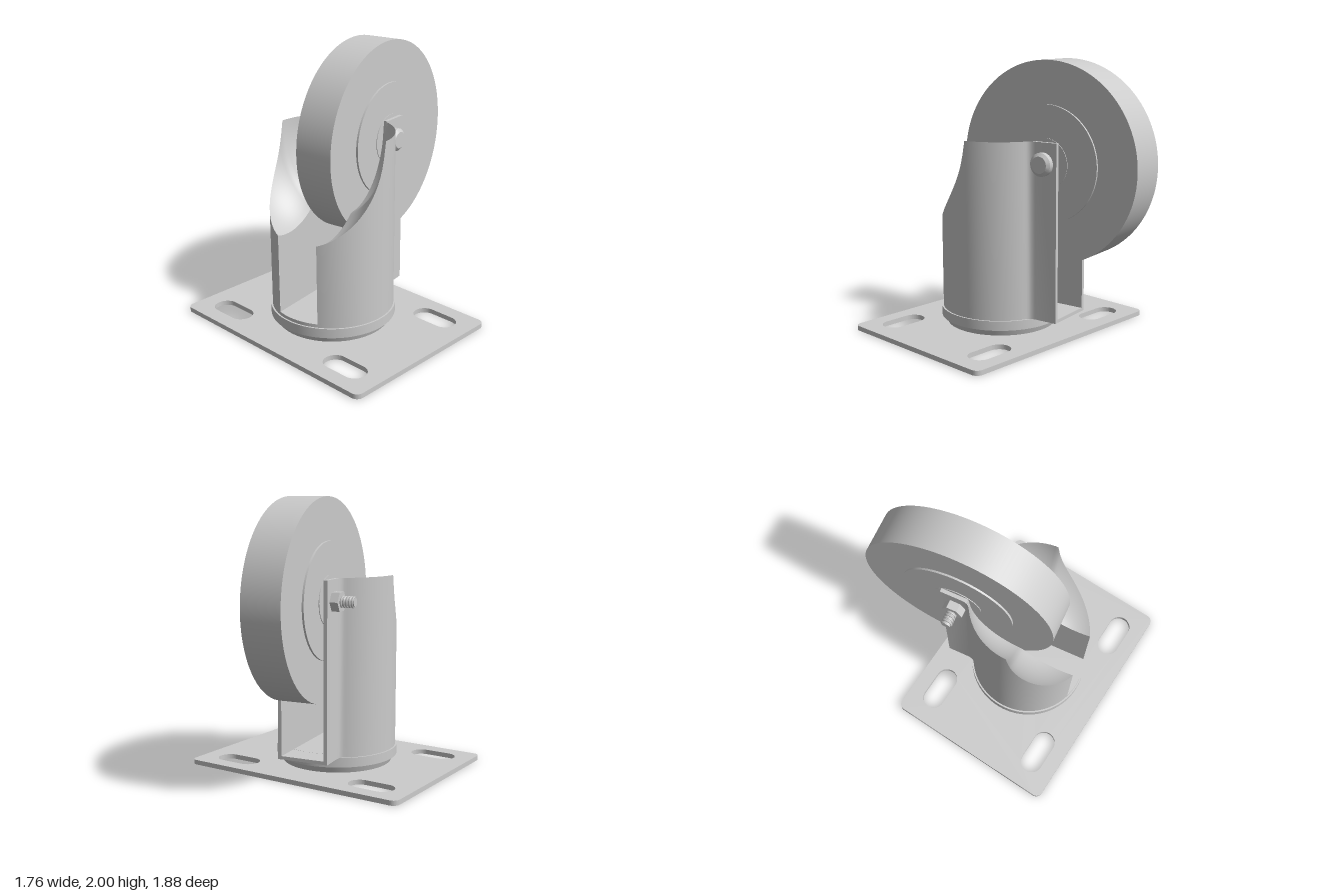
import * as THREE from 'three';
import { toCreasedNormals } from 'three/addons/utils/BufferGeometryUtils.js';

const grey = new THREE.MeshStandardMaterial({ color: 0xcccccc });
const BODY_R = 0.44, SLOT = 0.163, TOP = 1.44, FLOOR = 0.155;
const AXLE_Y = 1.288, AXLE_Z = -0.5;

function add(parent, name, geometry, x = 0, y = 0, z = 0) {
  const mesh = new THREE.Mesh(geometry, grey);
  mesh.name = name;
  mesh.position.set(x, y, z);
  parent.add(mesh);
  return mesh;
}

// Cylinder along x, from x0 to x1
function axleDisc(parent, name, r, x0, x1, sides = 64, r2 = r) {
  const g = new THREE.CylinderGeometry(r2, r, Math.abs(x1 - x0), sides);
  g.rotateZ(x1 > x0 ? -Math.PI / 2 : Math.PI / 2);
  return add(parent, name, toCreasedNormals(g, 0.6), (x0 + x1) / 2, AXLE_Y, AXLE_Z);
}

// Mounting plate layer with four slots and an optional round recess
function plateLayer(y0, y1, recess) {
  const w = 0.88, h = 0.665, r = 0.05;
  const s = new THREE.Shape();
  s.absarc(w - r, h - r, r, 0, Math.PI / 2);
  s.absarc(-w + r, h - r, r, Math.PI / 2, Math.PI);
  s.absarc(-w + r, -h + r, r, Math.PI, Math.PI * 1.5);
  s.absarc(w - r, -h + r, r, Math.PI * 1.5, Math.PI * 2);
  for (const sx of [-1, 1]) for (const sy of [-1, 1]) {
    const hole = new THREE.Path();
    hole.absarc(sx * 0.578 + 0.09, sy * 0.467, 0.085, -Math.PI / 2, Math.PI / 2);
    hole.absarc(sx * 0.578 - 0.09, sy * 0.467, 0.085, Math.PI / 2, Math.PI * 1.5);
    s.holes.push(hole);
  }
  if (recess) s.holes.push(new THREE.Path().absarc(0, 0, recess, 0, Math.PI * 2));
  const g = new THREE.ExtrudeGeometry(s, { depth: y1 - y0, bevelEnabled: false, curveSegments: 20 });
  g.rotateX(-Math.PI / 2);
  g.translate(0, y0, 0);
  return toCreasedNormals(g, 0.5);
}

// Height of the scooped top of a fork leg
function scoop(x, z) {
  const d2 = 1.91 * (BODY_R * BODY_R - x * x - z * z) + 1.12 * Math.max(z, 0);
  return TOP - Math.sqrt(Math.max(d2, 0));
}

// Fork leg: cross-sections from the front edge back to the flat axle flange
function legGeometry(side) {
  const plan = [], a0 = Math.asin(SLOT / BODY_R) + 0.002, a1 = Math.PI * 5 / 6;
  for (let i = 0; i <= 48; i++) {
    const a = a0 + (a1 - a0) * i / 48;
    plan.push([BODY_R * Math.cos(a), BODY_R * Math.sin(a)]);
  }
  plan.push([-0.393, 0.204], [-0.41, 0.195], [-0.435, 0.19], [-0.61, 0.19]);
  const across = 14, n = across + 3, pos = [], idx = [];
  for (const [z, xo] of plan) {
    pos.push(side * SLOT, FLOOR, z);
    for (let k = 0; k <= across; k++) {
      const x = SLOT + (xo - SLOT) * Math.sin(k / across * Math.PI / 2);
      pos.push(side * x, scoop(x, z), z);
    }
    pos.push(side * xo, FLOOR, z);
  }
  const tri = (a, b, c) => side > 0 ? idx.push(a, b, c) : idx.push(a, c, b);
  for (let j = 0; j < plan.length - 1; j++) for (let i = 0; i < n; i++) {
    const a = j * n + i, b = j * n + (i + 1) % n;
    tri(a, b, b + n);
    tri(a, b + n, a + n);
  }
  const last = (plan.length - 1) * n;
  for (let i = 1; i < n - 1; i++) tri(last, last + i, last + i + 1);
  const g = new THREE.BufferGeometry();
  g.setAttribute('position', new THREE.Float32BufferAttribute(pos, 3));
  g.setIndex(idx);
  return toCreasedNormals(g, 0.6);
}

export function createModel() {
  const root = new THREE.Group();
  root.name = 'casterWheel';
  const caster = new THREE.Group();
  caster.name = 'caster';
  caster.position.z = 0.275;
  root.add(caster);

  // Plate with shallow rings underneath
  add(caster, 'mountingPlate', plateLayer(0.006, 0.035));
  add(caster, 'plateUnderside', plateLayer(0, 0.006, 0.53));
  const ring = new THREE.Shape().absarc(0, 0, 0.28, 0, Math.PI * 2);
  ring.holes.push(new THREE.Path().absarc(0, 0, 0.18, 0, Math.PI * 2));
  const ringGeo = new THREE.ExtrudeGeometry(ring, { depth: 0.005, bevelEnabled: false, curveSegments: 48 });
  ringGeo.rotateX(-Math.PI / 2);
  add(caster, 'undersideRing', toCreasedNormals(ringGeo, 0.5), 0, 0.002, 0);

  // Swivel bearing
  const profile = [[0, 0.03], [0.408, 0.03], [0.428, 0.085], [0.452, 0.085], [0.452, 0.155],
    [0.44, 0.155], [0.44, 0.18], [0, 0.18]].map(p => new THREE.Vector2(...p));
  add(caster, 'swivelBearing', toCreasedNormals(new THREE.LatheGeometry(profile, 96), 0.3));

  // Everything above the bearing is swivelled
  const fork = new THREE.Group();
  fork.name = 'swivelFork';
  fork.rotation.y = THREE.MathUtils.degToRad(9);
  caster.add(fork);
  add(fork, 'forkFloor', new THREE.BoxGeometry(0.378, 0.024, 0.609), 0, 0.1675, -0.305);
  add(fork, 'leftLeg', legGeometry(1));
  add(fork, 'rightLeg', legGeometry(-1));

  // Wheel and hub
  axleDisc(fork, 'wheel', 0.712, -0.144, 0.144, 128);
  axleDisc(fork, 'hub', 0.412, -0.158, 0.158, 96);
  for (const s of [-1, 1]) axleDisc(fork, 'spacer', 0.18, s * 0.15, s * 0.1625);

  // Axle bolt with a low domed head, nut and threaded end
  axleDisc(fork, 'boltHead', 0.083, 0.185, 0.225, 48);
  axleDisc(fork, 'boltHeadCrown', 0.083, 0.225, 0.243, 48, 0.06);
  axleDisc(fork, 'nut', 0.076, -0.185, -0.25, 6);
  axleDisc(fork, 'boltEnd', 0.031, -0.18, -0.35, 24);
  const helix = [];
  for (let i = 0; i <= 80; i++) {
    const a = i / 16 * Math.PI * 2;
    helix.push(new THREE.Vector3(-0.24 - 0.104 * i / 80, 0.034 * Math.cos(a), 0.034 * Math.sin(a)));
  }
  add(fork, 'thread', new THREE.TubeGeometry(new THREE.CatmullRomCurve3(helix), 160, 0.008, 6),
    0, AXLE_Y, AXLE_Z);
  return root;
}
